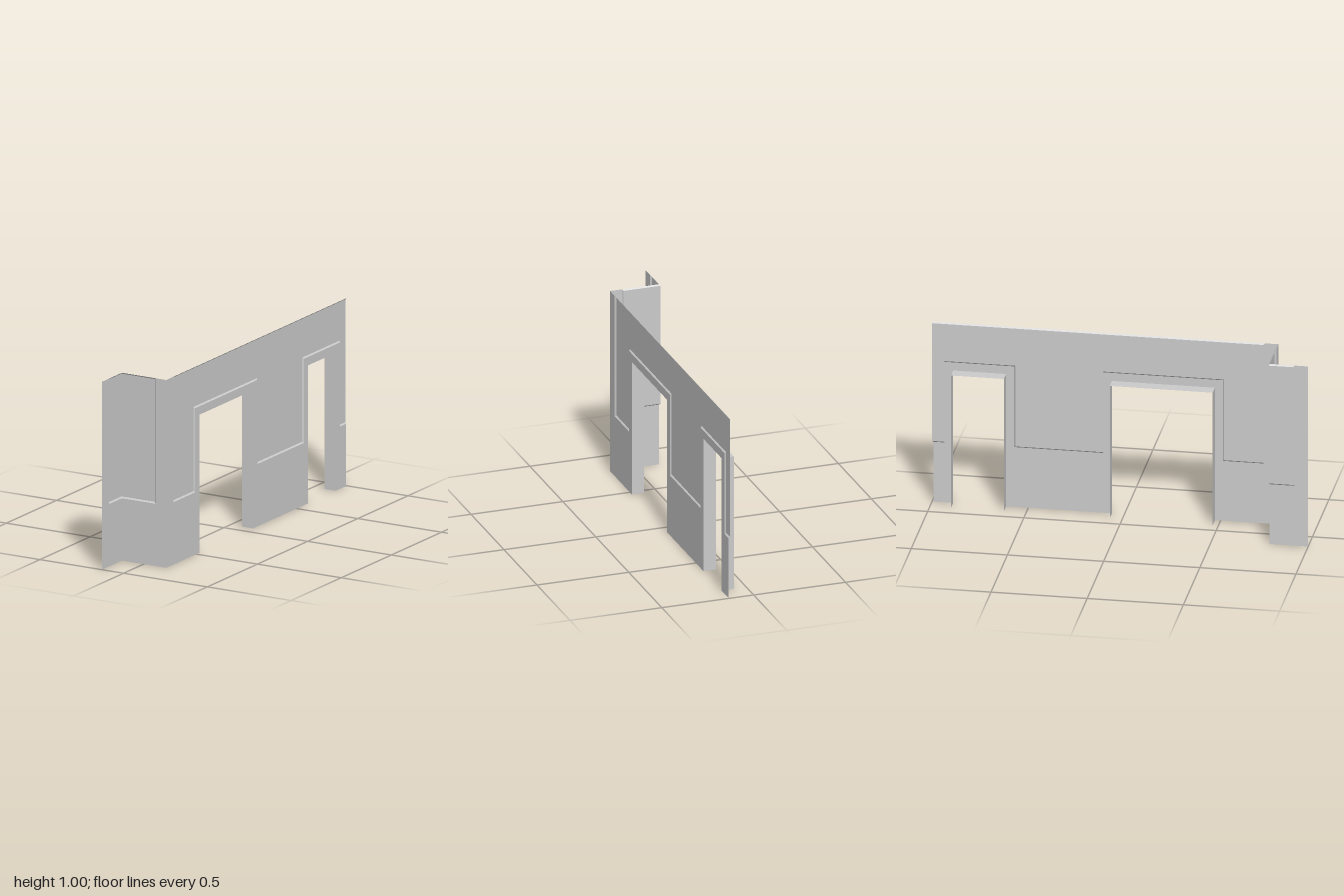
import * as THREE from 'three';

const DEPTH = 0.007;      // depth and bevel width of the recessed panels
const SILL = 0.332;       // bottom of the recessed panels
const HEAD = 0.735;       // top of the door openings
const REVEAL = 0.067;     // depth of the door linings

const material = new THREE.MeshStandardMaterial({
  color: 0xcccccc, side: THREE.DoubleSide, flatShading: true,
});

function addMesh(parent, name, geometry) {
  const mesh = new THREE.Mesh(geometry, material);
  mesh.name = name;
  parent.add(mesh);
  return mesh;
}

// Flat sheet from an outline of [u, v] points
function sheet(points) {
  return new THREE.ShapeGeometry(new THREE.Shape(points.map(([u, v]) => new THREE.Vector2(u, v))));
}

// Strip of quads from each edge of a (on the wall face) to b at a depth behind it
function ribbon(a, b, depth, keep) {
  const pos = [];
  for (let i = 0; i < a.length; i++) {
    if (!keep(i)) continue;
    const j = (i + 1) % a.length;
    const p = [...a[i], 0], q = [...a[j], 0], r = [...b[j], -depth], s = [...b[i], -depth];
    pos.push(...p, ...q, ...r, ...p, ...r, ...s);
  }
  const g = new THREE.BufferGeometry();
  g.setAttribute('position', new THREE.Float32BufferAttribute(pos, 3));
  g.computeVertexNormals();
  return g;
}

// Recessed panel with a bevelled rim; it runs on past the open edge at u = openU
function addRecess(parent, outline, openU) {
  const n = outline.length;
  const isOpen = (i) => outline[i][0] === openU && outline[(i + 1) % n][0] === openU;
  const shift = (i) => {
    const [a, b] = [outline[i], outline[(i + 1) % n]];
    const d = isOpen(i) ? -DEPTH : DEPTH;
    return [-Math.sign(b[1] - a[1]) * d, Math.sign(b[0] - a[0]) * d];
  };
  const inner = outline.map(([u, v], i) => {
    const s = shift((i + n - 1) % n), t = shift(i);
    return [u + s[0] + t[0], v + s[1] + t[1]];
  });
  addMesh(parent, 'recessedPanel', sheet(inner)).position.z = -DEPTH;
  addMesh(parent, 'panelBevel', ribbon(outline, inner, DEPTH, (i) => !isOpen(i)));
}

// Lining of a door opening between u0 and u1
function addDoorLining(parent, u0, u1) {
  const path = [[u1, 0], [u1, HEAD], [u0, HEAD], [u0, 0]];
  addMesh(parent, 'doorLining', ribbon(path, path, REVEAL, (i) => i < 3));
}

function makeWall(name, outline, recess, openU) {
  const wall = new THREE.Group();
  wall.name = name;
  addMesh(wall, 'wallFace', sheet(outline));
  addRecess(wall, recess, openU);
  return wall;
}

export function createModel() {
  const model = new THREE.Group();
  model.name = 'wallSection';

  // Long wall with two doorways; the panel steps up around each one
  const end = 0.993, over = 0.78;
  const doors = [[-0.47, 0.065], [0.615, 0.89]];
  const recess = [[-0.73, 1], [-0.73, SILL]];
  const floorLine = [[-0.8, 0]];
  for (const [u0, u1] of doors) {
    const a = u0 - 0.042, b = u1 + 0.042;
    recess.push([a, SILL], [a, over], [b, over], [b, SILL]);
    floorLine.push([u0, 0], [u0, HEAD], [u1, HEAD], [u1, 0]);
  }
  recess.push([end, SILL], [end, 1]);
  const outline = [...floorLine, [end, 0], ...recess.slice(0, -1).reverse(), [-0.8, 1]];
  const longWall = makeWall('longWall', outline, recess, end);
  doors.forEach(([u0, u1]) => addDoorLining(longWall, u0, u1));
  longWall.rotation.y = Math.PI / 2;
  longWall.position.x = 0.135;

  // Short return wall facing the front
  const returnWall = makeWall('returnWall',
    [[-0.13, 0], [0.135, 0], [0.135, 1], [0.07, 1], [0.07, SILL], [-0.13, SILL]],
    [[-0.13, 1], [-0.13, SILL], [0.07, SILL], [0.07, 1]], -0.13);
  returnWall.position.z = 0.8;

  // Narrow end wall, parallel to the long wall
  const endWall = makeWall('endWall',
    [[-1, 0], [-0.8, 0], [-0.8, SILL], [-0.93, SILL], [-0.93, 1], [-1, 1]],
    [[-0.93, 1], [-0.93, SILL], [-0.8, SILL], [-0.8, 1]], -0.8);
  endWall.rotation.y = Math.PI / 2;
  endWall.position.x = -0.13;

  model.add(longWall, returnWall, endWall);
  return model;
}
